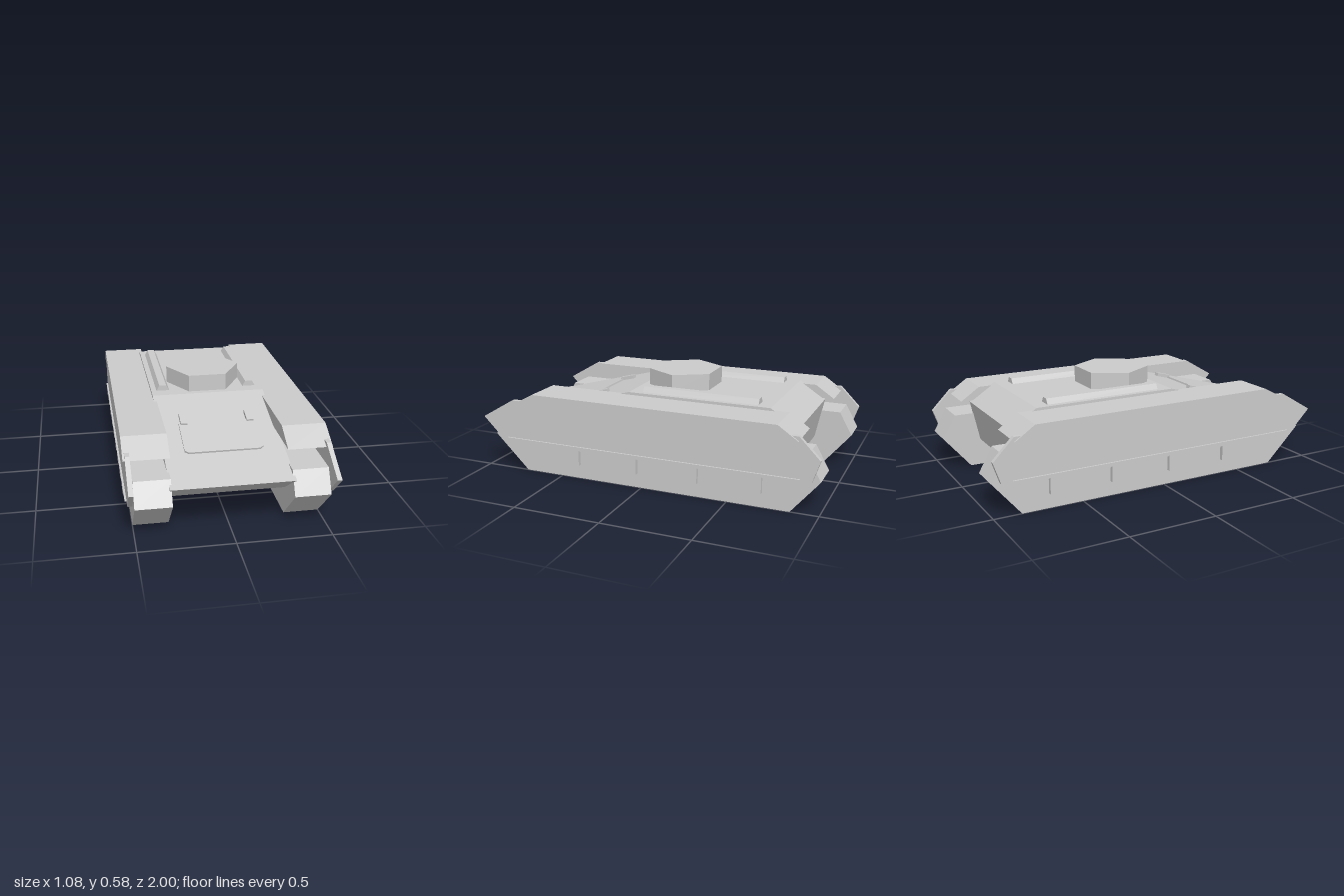
import * as THREE from 'three';

const material = new THREE.MeshStandardMaterial({ color: 0xcccccc, flatShading: true });

function add(parent, name, geometry) {
  const mesh = new THREE.Mesh(geometry, material);
  mesh.name = name;
  parent.add(mesh);
  return mesh;
}

const toShape = (points) => new THREE.Shape(points.map(([a, b]) => new THREE.Vector2(a, b)));

// Side profile of [z, y] points, extruded across from x0 to x1
function sideSlab(points, x0, x1) {
  const g = new THREE.ExtrudeGeometry(toShape(points), { depth: x1 - x0, bevelEnabled: false });
  g.rotateY(-Math.PI / 2);
  g.translate(x1, 0, 0);
  return g;
}

export function createModel() {
  const model = new THREE.Group();
  model.name = 'armouredVehicle';

  // Hull with sloped nose and rear
  add(model, 'hull', sideSlab([
    [0.74, 0.155], [0.925, 0.285], [0.155, 0.49], [-0.675, 0.49], [-0.83, 0.39], [-0.78, 0.155],
  ], -0.32, 0.32));

  // Six-sided turret
  const turret = add(model, 'turret', new THREE.CylinderGeometry(0.214, 0.214, 0.1, 6, 1, false, Math.PI / 2));
  turret.position.set(0, 0.535, -0.065);

  // Hinged plate lying on the nose slope, with two hinge arms
  const vane = new THREE.Group();
  vane.name = 'nosePlate';
  vane.position.set(0, 0.417, 0.43);
  vane.rotation.x = Math.atan2(0.205, 0.77);
  model.add(vane);
  const plate = new THREE.ExtrudeGeometry(toShape([
    [-0.21, 0], [0.21, 0], [0.21, -0.23], [0.19, -0.248], [-0.19, -0.248], [-0.21, -0.23],
  ].reverse()), { depth: 0.01, bevelEnabled: false });
  plate.rotateX(-Math.PI / 2);
  add(vane, 'plate', plate);

  // Wavy lower edge of the skirt
  const wave = [[0.84, 0.2], [0.753, 0.19]];
  for (let i = 0; i < 9; i++) {
    const z = 0.663 - i * 0.179;
    wave.push([z, 0.155], [z - 0.0895, 0.19]);
  }
  wave.push([-0.9, 0.2]);

  for (const s of [1, -1]) {
    const side = new THREE.Group();
    side.name = s > 0 ? 'leftSide' : 'rightSide';
    model.add(side);
    const slab = (name, points, a, b) =>
      add(side, name, sideSlab(points, Math.min(s * a, s * b), Math.max(s * a, s * b)));

    slab('track', [
      [0.735, 0], [0.94, 0.2], [0.87, 0.32], [-0.925, 0.32], [-1, 0.185], [-0.845, 0],
    ], 0.31, 0.5);
    slab('fender', [
      [0.8, 0.4], [0.66, 0.475], [-0.775, 0.475], [-0.885, 0.4],
    ], 0.303, 0.54);
    slab('skirt', [
      [0.88, 0.19], [1, 0.308], [0.8, 0.425], [-0.885, 0.425], [-1, 0.308], [-0.96, 0.19],
    ], 0.505, 0.53);
    slab('skirtEdge', wave, 0.53, 0.54);

    // Six-sided road wheels
    for (let i = 0; i < 4; i++) {
      const wheel = new THREE.CylinderGeometry(0.116, 0.116, 0.03, 6);
      wheel.rotateZ(Math.PI / 2);
      wheel.rotateX(Math.PI / 2);
      add(side, 'roadWheel', wheel).position.set(s * 0.507, 0.14, 0.48 - i * 0.358);
    }

    // Raised rail on the deck
    const rail = new THREE.ExtrudeGeometry(toShape([
      [-0.04, 0], [0.04, 0], [0.02, 0.035], [-0.02, 0.035],
    ]), { depth: 0.68, bevelEnabled: false });
    add(side, 'deckRail', rail).position.set(s * 0.253, 0.485, -0.6);

    add(vane, 'hingeArm', new THREE.BoxGeometry(0.036, 0.022, 0.09)).position.set(s * 0.182, 0.009, -0.03);
  }
  return model;
}
